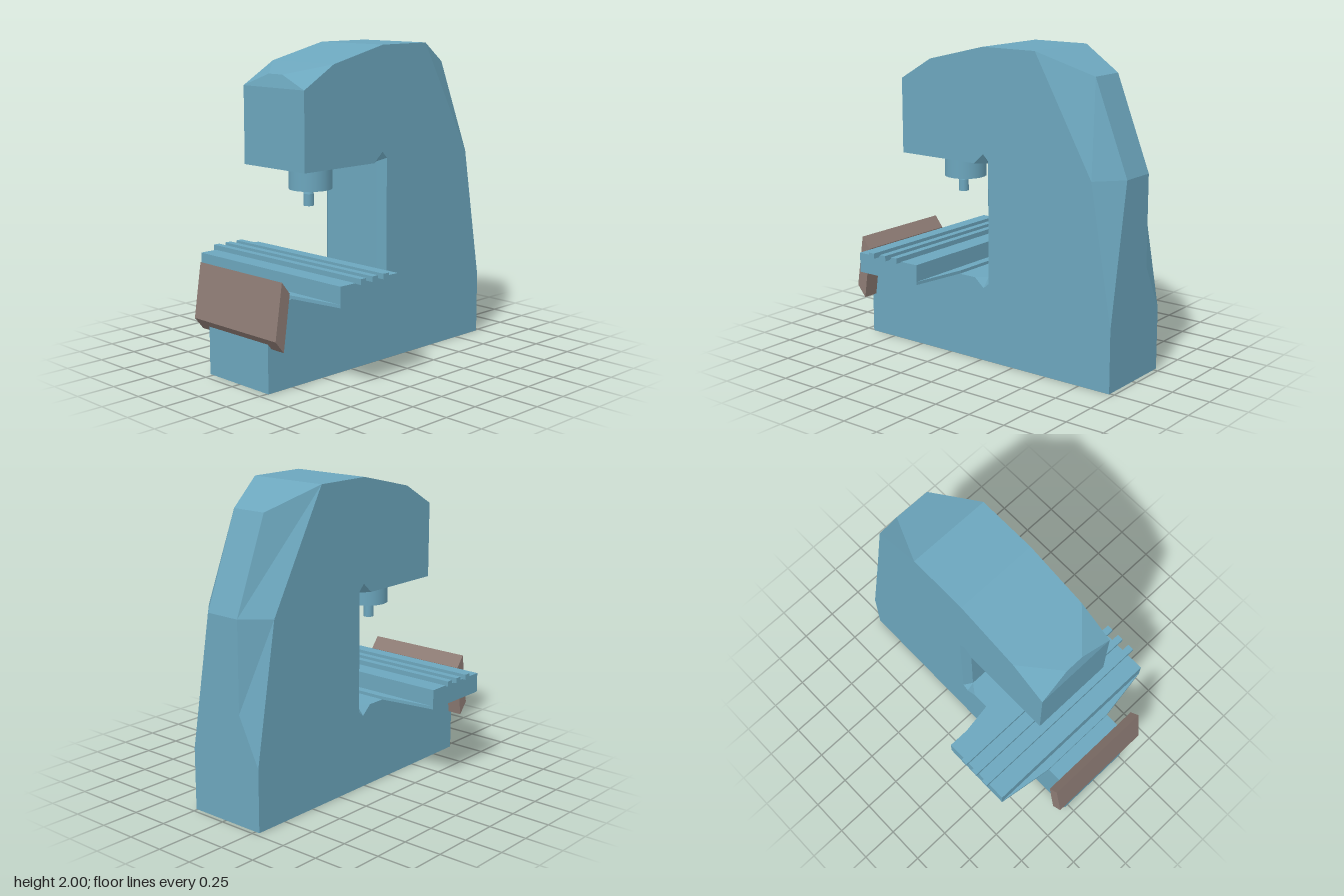
import * as THREE from 'three';

const teal = new THREE.MeshStandardMaterial({ color: 0x6ca6bd });
teal.name = 'blue paint';
const brown = new THREE.MeshStandardMaterial({ color: 0x8d7b74 });
brown.name = 'brown panel';

const H = 0.27;    // half thickness of the frame
const ZC = -0.01;  // centre plane of the frame

function add(group, name, geometry, material, x = 0, y = 0, z = 0) {
  const mesh = new THREE.Mesh(geometry, material);
  mesh.name = name;
  mesh.position.set(x, y, z);
  group.add(mesh);
  return mesh;
}

// Each row: side outline x, y, then optional inner edge x, y, z that forms a chamfer.
function frameGeometry() {
  const rows = [
    [-0.94, 0], [0.97, 0], [0.97, 0.4],
    [0.97, 0.4, 0.97, 0.7, 0.12],
    [0.82, 1.272, 0.97, 1.275, 0.12],
    [0.41, 2, 0.74, 1.86, 0.12],
    [0.41, 2], [0.02, 2], [-0.4, 1.9],
    [-0.4, 1.9, -0.62, 1.84, 0.06],
    [-0.64, 1.76, -0.62, 1.84, 0.06],
    [-0.64, 1.76], [-0.64, 1.275], [-0.05, 1.275],
    [0.02, 1.34, 0.02, 1.275, 0.22],
    [0.06, 1.298, 0.02, 1.275, 0.22],
    [0.06, 0.515, 0.02, 0.54, 0.22],
    [0.02, 0.48, 0.02, 0.54, 0.22],
    [-0.05, 0.54], [-0.94, 0.54],
  ];
  const pos = [];
  const tri = (a, b, c) => {
    const area = new THREE.Triangle(a, b, c).getArea();
    if (area > 1e-7) for (const p of [a, b, c]) pos.push(p.x, p.y, p.z + ZC);
  };
  // Four points across the thickness: side, inner edge, inner edge, side
  const rings = rows.map(([x, y, rx = x, ry = y, rz = H]) => [
    new THREE.Vector3(x, y, H), new THREE.Vector3(rx, ry, rz),
    new THREE.Vector3(rx, ry, -rz), new THREE.Vector3(x, y, -H),
  ]);
  rings.forEach((a, i) => {
    const b = rings[(i + 1) % rings.length];
    for (let k = 0; k < 3; k++) {
      tri(a[k], a[k + 1], b[k + 1]);
      tri(a[k], b[k + 1], b[k]);
    }
  });
  // Flat side walls
  const outline = rows.map(([x, y]) => new THREE.Vector2(x, y))
    .filter((p, i, all) => i === 0 || !p.equals(all[i - 1]));
  const at = (i, z) => new THREE.Vector3(outline[i].x, outline[i].y, z);
  for (const [a, b, c] of THREE.ShapeUtils.triangulateShape(outline, [])) {
    tri(at(a, H), at(b, H), at(c, H));
    tri(at(c, -H), at(b, -H), at(a, -H));
  }
  const g = new THREE.BufferGeometry();
  g.setAttribute('position', new THREE.Float32BufferAttribute(pos, 3));
  g.computeVertexNormals();
  return g;
}

// Straight prism from a list of [x, y] corners
function prism(points, depth) {
  const shape = new THREE.Shape(points.map(([x, y]) => new THREE.Vector2(x, y)));
  return new THREE.ExtrudeGeometry(shape, { depth, bevelEnabled: false });
}

export function createModel() {
  const model = new THREE.Group();
  model.name = 'millingMachine';

  add(model, 'frame', frameGeometry(), teal);

  // Work table on a saddle that widens towards the frame
  const table = new THREE.Group();
  table.name = 'workTable';
  model.add(table);
  const cx = -0.462;
  add(table, 'tableTop', new THREE.BoxGeometry(0.48, 0.108, 1.27), teal, cx, 0.616, -0.015);
  const saddle = prism([
    [-0.24, -0.635], [0.24, -0.635], [0.295, -0.27], [0.295, 0.27],
    [0.24, 0.635], [-0.24, 0.635], [-0.295, 0.27], [-0.295, -0.27],
  ], 0.02).rotateX(-Math.PI / 2);
  add(table, 'saddle', saddle, teal, cx, 0.543, -0.015);
  for (const x of [-0.56, -0.463, -0.37]) {
    add(table, 'tableRail', new THREE.BoxGeometry(0.044, 0.034, 1.335), teal, x, 0.684, -0.003);
  }

  // Tilted control panel at the end of the base
  add(model, 'controlPanel', prism(
    [[-0.975, 0.345], [-0.912, 0.268], [-0.862, 0.612], [-0.922, 0.688]], 0.745,
  ), brown, 0, 0, -0.378);

  // Spindle and cutter under the head
  add(model, 'spindle', new THREE.CylinderGeometry(0.135, 0.135, 0.16, 24), teal, -0.34, 1.2, ZC);
  const cutter = new THREE.Group();
  cutter.name = 'cutter';
  cutter.position.set(-0.357, 0, ZC);
  model.add(cutter);
  add(cutter, 'cutterTip', new THREE.CylinderGeometry(0.033, 0.033, 0.075, 10), teal, 0, 1.053, 0);
  add(cutter, 'cutterNeck', new THREE.CylinderGeometry(0.02, 0.033, 0.04, 10), teal, 0, 1.11, 0);

  return model;
}
